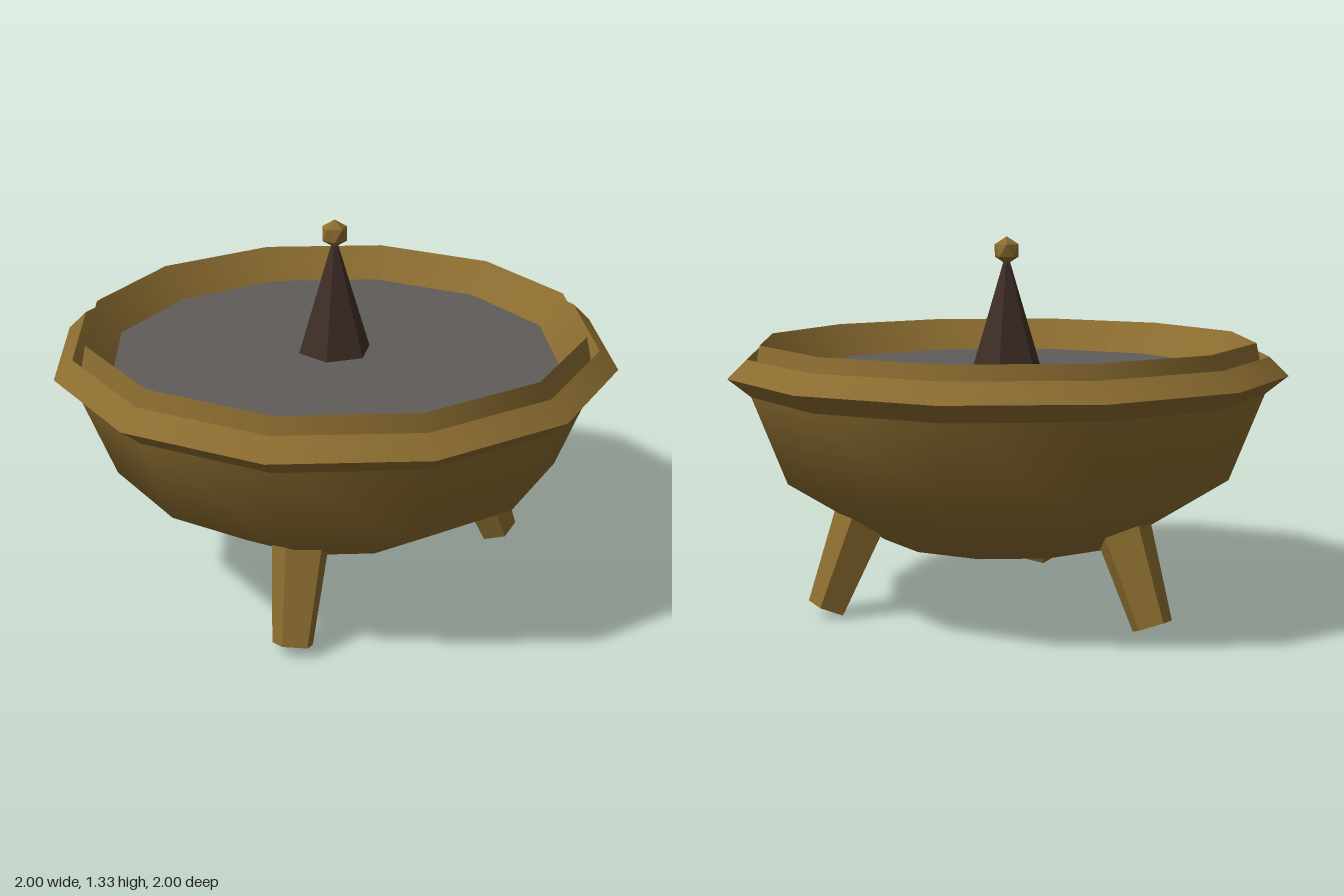
import * as THREE from 'three';

const SIDES = 12;

export function createModel() {
  const model = new THREE.Group();
  const material = (name, color, extra = {}) =>
    Object.assign(new THREE.MeshStandardMaterial({ color, ...extra }), { name });
  const brass = material('brass', 0x8b6c30);
  const brassFlat = material('brass', 0x8b6c30, { flatShading: true });
  const water = material('grey water', 0x605c59);
  const darkWood = material('dark brown', 0x3e2d26, { flatShading: true });

  const add = (name, geometry, mat, parent = model) => {
    const mesh = new THREE.Mesh(geometry, mat);
    mesh.name = name;
    parent.add(mesh);
    return mesh;
  };
  const lathe = (points) =>
    new THREE.LatheGeometry(points.map(([r, y]) => new THREE.Vector2(r, y)), SIDES);

  // Smooth bowl with a flat underside
  add('bowl', lathe([[0, 0.26], [0.455, 0.26], [0.8, 0.48], [0.92, 0.79]]), brass);

  // Rim: one band per profile segment keeps the ring edges sharp
  const rim = new THREE.Group();
  rim.name = 'rim';
  model.add(rim);
  const profile = [[0.92, 0.79], [1, 0.855], [0.933, 0.92], [0.905, 0.88], [0.887, 0.967], [0.8, 0.85]];
  for (let i = 0; i < profile.length - 1; i++) {
    add('rimBand', lathe([profile[i], profile[i + 1]]), brass, rim);
  }

  // Water surface
  const surface = add('waterSurface', new THREE.CircleGeometry(0.805, SIDES), water);
  surface.rotation.x = -Math.PI / 2;
  surface.position.y = 0.85;

  // Central spike and its faceted finial
  const spike = add('spike', new THREE.ConeGeometry(0.132, 0.43, 6), darkWood);
  spike.rotation.y = Math.PI / 6;
  spike.position.y = 1.065;
  const finial = add('finial', new THREE.IcosahedronGeometry(0.05, 0), brassFlat);
  finial.rotation.z = -0.5536;
  finial.position.y = 1.28;

  // Three splayed five-sided legs
  const legGeometry = new THREE.CylinderGeometry(0.108, 0.073, 0.4, 5);
  for (let i = 0; i < 3; i++) {
    const pivot = new THREE.Group();
    pivot.name = 'legPivot';
    pivot.rotation.y = (i * Math.PI * 2) / 3;
    model.add(pivot);
    const leg = add('leg', legGeometry, brassFlat, pivot);
    leg.position.set(0.589, 0.212, 0);
    leg.rotation.z = 0.39;
  }
  return model;
}
